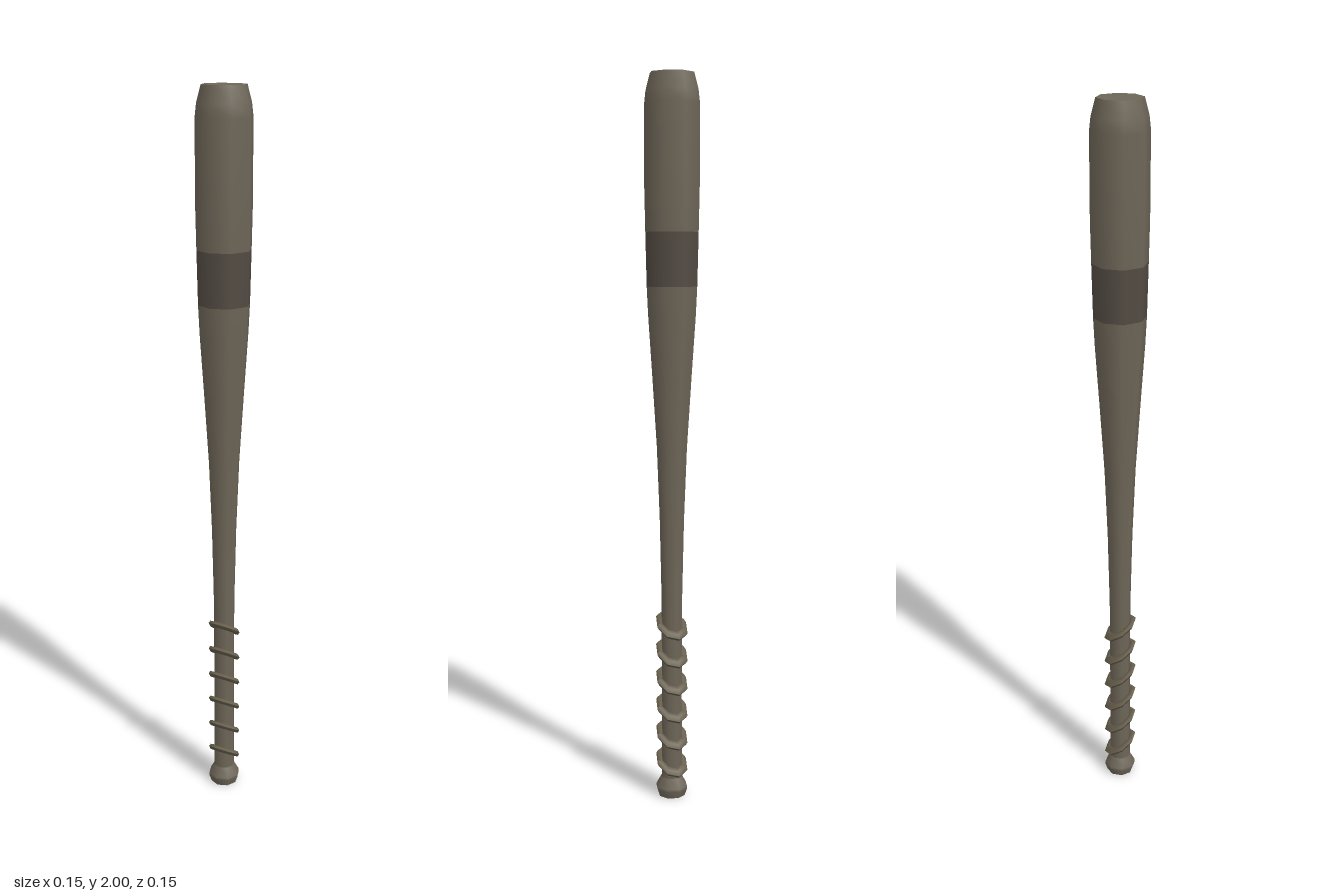
import * as THREE from 'three';

const SIDES = 8;
const wood = new THREE.MeshStandardMaterial({ color: 0x6e6658 });
const dark = new THREE.MeshStandardMaterial({ color: 0x544c44 });
const cord = new THREE.MeshStandardMaterial({ color: 0x665e4c });

// Eight-sided turned part from [radius, height] pairs; repeat a pair for a sharp edge
function turned(name, profile, material) {
  const points = profile.map(([r, y]) => new THREE.Vector2(r, y));
  const mesh = new THREE.Mesh(new THREE.LatheGeometry(points, SIDES), material);
  mesh.name = name;
  return mesh;
}

export function createModel() {
  const bat = new THREE.Group();
  bat.name = 'bat';

  // Knob at the foot of the handle
  bat.add(turned('knob', [
    [0, 0], [0.038, 0], [0.038, 0], [0.045, 0.02], [0.045, 0.028], [0.03, 0.055],
  ], wood));

  // Handle widening into the barrel
  bat.add(turned('handle', [
    [0.03, 0.05], [0.029, 0.3], [0.03, 0.58], [0.035, 0.8], [0.043, 1.0],
    [0.056, 1.2], [0.067, 1.36], [0.071, 1.44],
  ], wood));

  // Dark band around the barrel
  bat.add(turned('band', [[0.071, 1.44], [0.0745, 1.585]], dark));

  // Barrel with bevelled flat end
  bat.add(turned('barrel', [
    [0.0745, 1.585], [0.077, 1.7], [0.077, 1.92], [0.073, 1.955],
    [0.061, 2], [0.061, 2], [0, 2],
  ], wood));

  // Grip cords: flat rings sheared so that the front sits higher
  const ring = new THREE.TorusGeometry(0.036, 0.01, 6, SIDES).rotateX(Math.PI / 2);
  const pos = ring.attributes.position;
  for (let i = 0; i < pos.count; i++) pos.setY(i, pos.getY(i) + pos.getZ(i) * 0.65);
  ring.computeVertexNormals();
  for (let i = 0; i < 6; i++) {
    const mesh = new THREE.Mesh(ring, cord);
    mesh.name = 'gripRing' + (i + 1);
    mesh.position.y = 0.097 + i * 0.08;
    bat.add(mesh);
  }
  return bat;
}
